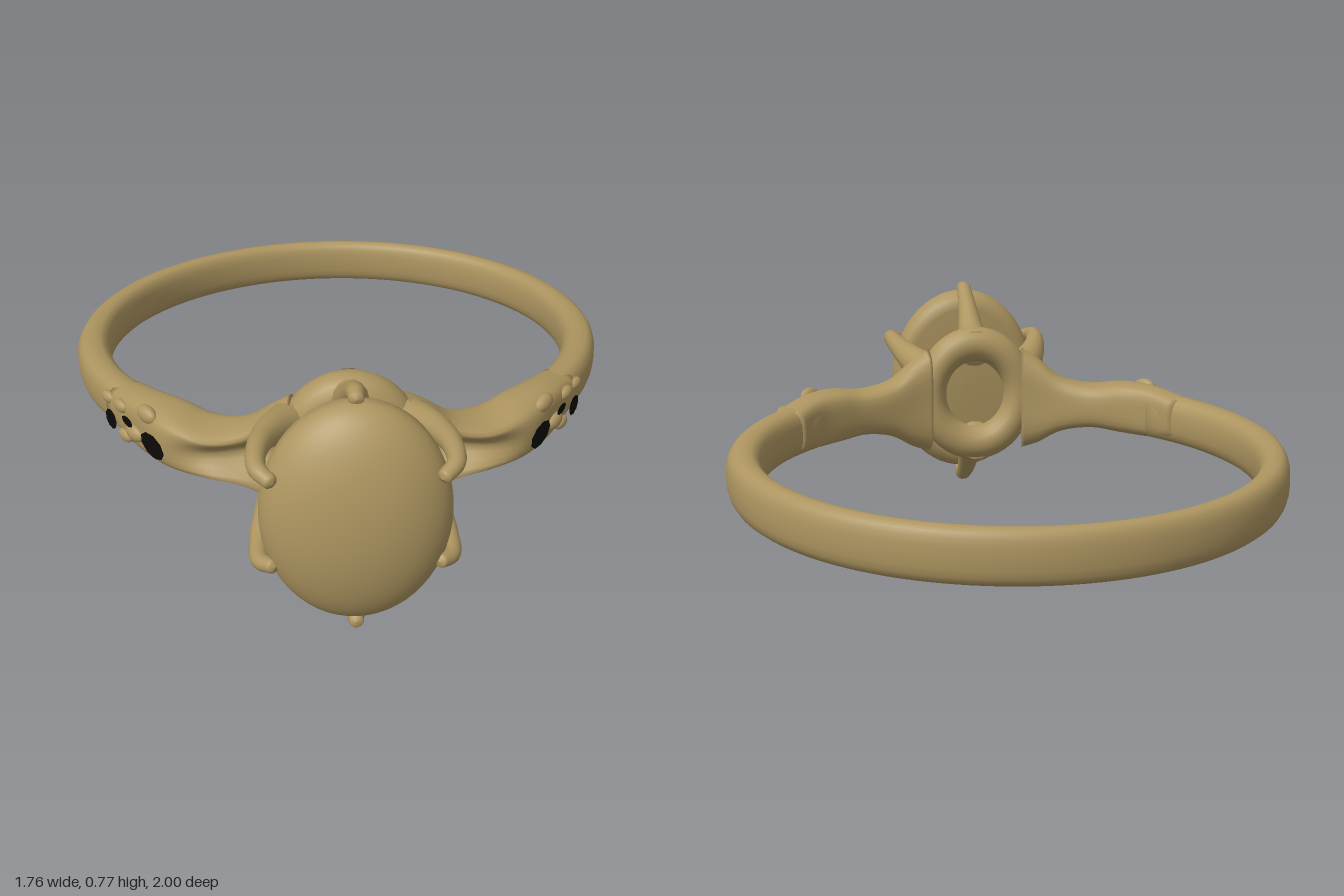
import * as THREE from 'three';

const V = (x, y, z) => new THREE.Vector3(x, y, z);

// Skin a row of equal-length closed rings; ends are capped unless the row loops.
function loft(rings) {
  const n = rings[0].length, m = rings.length;
  const pts = rings.flat();
  const mid = (r) => r.reduce((a, p) => a.add(p), V(0, 0, 0)).divideScalar(n);
  pts.push(mid(rings[0]), mid(rings[m - 1]));
  const tris = [];
  for (let i = 0; i < m - 1; i++) for (let j = 0; j < n; j++) {
    const k = (j + 1) % n, a = i * n + j, b = i * n + k, c = a + n, d = b + n;
    tris.push([a, b, c], [b, d, c]);
  }
  for (let j = 0; j < n; j++) {
    const k = (j + 1) % n, e = (m - 1) * n;
    tris.push([m * n, k, j], [m * n + 1, e + j, e + k]);
  }
  // A negative volume means the skin is inside out, so turn every face
  const vol = tris.reduce((s, [a, b, c]) => s + pts[a].dot(pts[b].clone().cross(pts[c])), 0);
  const g = new THREE.BufferGeometry().setFromPoints(pts);
  g.setIndex(tris.flatMap(([a, b, c]) => (vol < 0 ? [a, c, b] : [a, b, c])));
  g.computeVertexNormals();
  return g;
}

// Round rod along a smooth path with a radius at each path point.
function taperedRod(path, radii, sides = 14, steps = 28) {
  const curve = new THREE.CatmullRomCurve3(path);
  const rings = [];
  for (let i = 0; i <= steps + 3; i++) {
    const t = Math.min(i / steps, 1);
    const f = t * (radii.length - 1), k = Math.min(Math.floor(f), radii.length - 2);
    const over = Math.max(0, i - steps) / 3; // rounded tip
    const r = THREE.MathUtils.lerp(radii[k], radii[k + 1], f - k) * Math.max(0.02, Math.sqrt(1 - over * over));
    const dir = curve.getTangent(t);
    const p = curve.getPoint(t).addScaledVector(dir, over * radii[radii.length - 1] * 0.7);
    const u = V(0, 1, 0).cross(dir).normalize(), w = dir.clone().cross(u);
    rings.push(Array.from({ length: sides }, (_, j) => {
      const a = (j / sides) * Math.PI * 2;
      return p.clone().addScaledVector(u, Math.cos(a) * r).addScaledVector(w, Math.sin(a) * r);
    }));
  }
  return loft(rings);
}

// Band: tilted oval hoop, thin at the back and thicker at the sides
function bandGeometry() {
  const rings = [];
  for (let i = 0; i <= 96; i++) {
    const t = THREE.MathUtils.degToRad(-133 + (266 * i) / 96);
    const thick = 0.07 + 0.042 * Math.min(1, (1 - Math.cos(t)) * 0.95);
    const ring = [];
    for (let j = 0; j < 20; j++) {
      const a = (j / 20) * Math.PI * 2, c = Math.cos(a), s = Math.sin(a);
      const out = thick / 2 + (Math.sign(c) * Math.abs(c) ** 0.75 * thick) / 2;
      const x = (0.767 + out) * Math.sin(t), z = -0.235 - (0.698 + out) * Math.cos(t);
      ring.push(V(x, 0.325 + 0.105 * z + Math.sign(s) * Math.abs(s) ** 0.8 * 0.08, z));
    }
    rings.push(ring);
  }
  return loft(rings);
}

// Shoulder: inner x,z, outer x,z, bottom, top, depth of the scoop in the outer face
const STATIONS = [
  [0.63, 0.16, 0.735, 0.21, 0.28, 0.42, -0.01],
  [0.56, 0.25, 0.645, 0.355, 0.27, 0.45, 0],
  [0.48, 0.31, 0.545, 0.475, 0.275, 0.455, 0],
  [0.4, 0.36, 0.43, 0.55, 0.285, 0.44, 0.05],
  [0.3, 0.41, 0.32, 0.57, 0.265, 0.465, 0.08],
  [0.22, 0.44, 0.24, 0.575, 0.22, 0.53, 0.08],
  [0.16, 0.455, 0.18, 0.575, 0.2, 0.57, 0.07],
];
function shoulderGeometry(side) {
  const sections = STATIONS.map(([ix, iz, ox, oz, lo, hi, scoop]) => {
    const mid = (lo + hi) / 2, len = Math.hypot(ox - ix, oz - iz);
    const at = (f, y) => V(side * (ix + (ox - ix) * f), y, iz + (oz - iz) * f);
    const e = (hi - lo) * 0.1;
    const loop = [at(0.08, lo + e), at(0, mid), at(0.08, hi - e), at(0.5, hi),
      at(0.93, hi - e), at(1 - scoop / len, mid), at(0.93, lo + e), at(0.5, lo)];
    return new THREE.CatmullRomCurve3(loop, true).getPoints(32).slice(0, 32);
  });
  const tracks = sections[0].map((_, j) => new THREE.CatmullRomCurve3(sections.map((s) => s[j])));
  return loft(Array.from({ length: 37 }, (_, i) => tracks.map((c) => c.getPoint(i / 36))));
}

// Stone: domed oval with a flat back
function stoneGeometry() {
  const profile = [[0.001, -0.055], [0.82, -0.05], [0.93, -0.035], [0.985, -0.01]].map(([r, y]) => new THREE.Vector2(r, y));
  for (let i = 0; i <= 16; i++) {
    const a = (i / 16) * Math.PI / 2;
    profile.push(new THREE.Vector2(Math.max(0.0005, Math.cos(a)), 0.02 + 0.145 * Math.sin(a)));
  }
  return new THREE.LatheGeometry(profile, 56).rotateX(Math.PI / 2).scale(0.27, 0.345, 1);
}

export function createModel() {
  const model = new THREE.Group();
  model.name = 'ring';
  const gold = new THREE.MeshStandardMaterial({ color: 0xad9560 });
  gold.name = 'gold';
  const dark = new THREE.MeshStandardMaterial({ color: 0x0c0b09 });
  dark.name = 'dark recess';
  const add = (name, geometry, material = gold) => {
    const mesh = new THREE.Mesh(geometry, material);
    mesh.name = name;
    model.add(mesh);
    return mesh;
  };

  add('band', bandGeometry());

  const stone = add('stone', stoneGeometry());
  stone.position.set(0, 0.407, 0.832);
  stone.rotation.x = -0.08;

  // Oval collar under the stone
  const collar = add('collar', new THREE.TorusGeometry(0.16, 0.055, 18, 48));
  collar.scale.set(1, 1.13, 1.15);
  collar.position.set(0, 0.405, 0.52);

  // End prongs
  const radii = [0.07, 0.052, 0.038, 0.03, 0.026, 0.022];
  add('topProng', taperedRod([V(0, 0.57, 0.5), V(0, 0.6, 0.585), V(0, 0.67, 0.67),
    V(0, 0.725, 0.74), V(0, 0.758, 0.795), V(0, 0.762, 0.825)], radii));
  add('bottomProng', taperedRod([V(0, 0.235, 0.5), V(0, 0.205, 0.595), V(0, 0.135, 0.69),
    V(0, 0.065, 0.78), V(0, 0.036, 0.86), V(0, 0.05, 0.9)], radii));

  for (const side of [1, -1]) {
    const label = side > 0 ? 'left' : 'right';
    add(label + 'Shoulder', shoulderGeometry(side));

    // Side prongs, upper and lower
    const sideProng = (name, ys) => add(label + name, taperedRod([
      [0.16, 0.51], [0.215, 0.6], [0.25, 0.69], [0.27, 0.79], [0.268, 0.87], [0.235, 0.91],
    ].map(([x, z], i) => V(side * x, ys[i], z)), radii));
    sideProng('UpperProng', [0.48, 0.52, 0.55, 0.572, 0.572, 0.56]);
    sideProng('LowerProng', [0.33, 0.295, 0.272, 0.257, 0.257, 0.27]);

    // Pierced openings on the shoulder face: x, y, z, half width, half height
    for (const [x, y, z, w, h] of [
      [0.575, 0.36, 0.44, 0.06, 0.042], [0.655, 0.385, 0.342, 0.028, 0.018], [0.715, 0.335, 0.25, 0.03, 0.036],
    ]) {
      const hole = add(label + 'Opening', new THREE.CircleGeometry(1, 9).scale(w, h, 1), dark);
      hole.position.set(side * (x + 0.012), y, z + 0.01);
      hole.rotation.y = side * 0.9;
    }

    // Leaf-like nubs around the openings
    for (const [x, y, z, r] of [
      [0.645, 0.345, 0.355, 0.03], [0.69, 0.4, 0.285, 0.024], [0.68, 0.3, 0.3, 0.024],
      [0.6, 0.435, 0.39, 0.032], [0.735, 0.385, 0.21, 0.022],
    ]) {
      const nub = add(label + 'Nub', new THREE.SphereGeometry(r, 14, 10));
      nub.scale.set(1.4, 0.9, 0.7);
      nub.position.set(side * x, y, z);
      nub.rotation.y = side * 0.9;
    }
  }
  return model;
}
